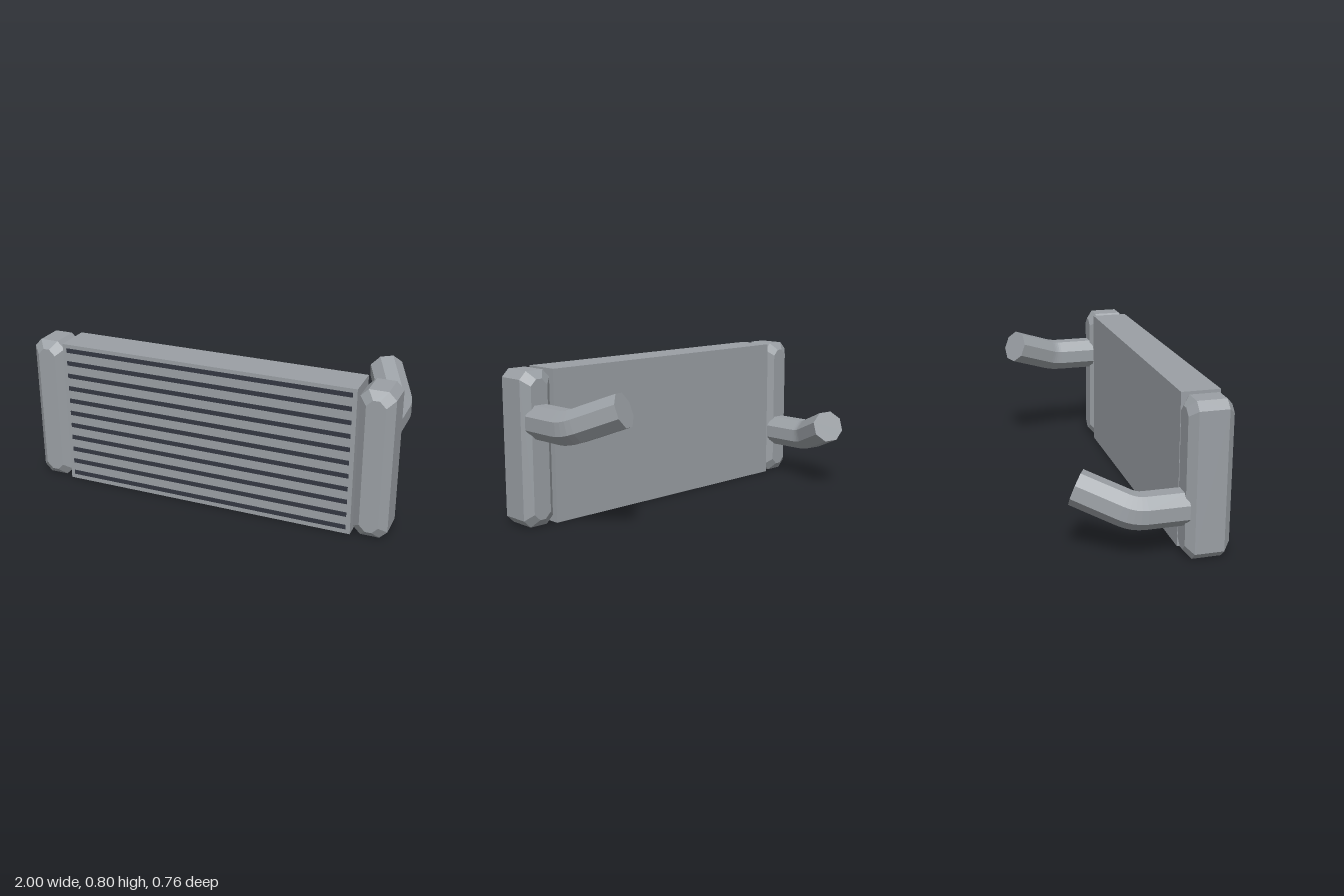
import * as THREE from 'three';
import { ConvexGeometry } from 'three/addons/geometries/ConvexGeometry.js';

const metal = new THREE.MeshStandardMaterial({ color: 0x9a9fa4 });
metal.name = 'grey metal';
const dark = new THREE.MeshStandardMaterial({ color: 0x343842 });
dark.name = 'dark slot';

function add(parent, name, geometry, material, x = 0, y = 0, z = 0) {
  const mesh = new THREE.Mesh(geometry, material);
  mesh.name = name;
  mesh.position.set(x, y, z);
  parent.add(mesh);
  return mesh;
}

// End tank: octagonal slab whose front and back faces are chamfered inward
function tankGeometry() {
  const outer = [[0.09, 0.36], [0.05, 0.4]];
  const inner = [[0.05, 0.327], [0.017, 0.36]];
  const points = [];
  for (const [ring, z] of [[outer, 0.075], [inner, 0.1135]])
    for (const [x, y] of ring)
      for (const sx of [-1, 1])
        for (const sy of [-1, 1])
          for (const sz of [-1, 1]) points.push(new THREE.Vector3(sx * x, sy * y, sz * z));
  return new ConvexGeometry(points);
}

// Eight-sided pipe: straight run, rounded bend, angled end, flat caps
function pipeGeometry(side, y) {
  const sides = 8, radius = 0.092;
  const start = new THREE.Vector3(side * 0.905, y, 0.17);
  const corner = new THREE.Vector3(side * 0.905, y, -0.085);
  const end = new THREE.Vector3(side * 0.78, y + 0.103, -0.335);
  const back = new THREE.Vector3(0, 0, -1);
  const dir = end.clone().sub(corner).normalize();
  const bend = new THREE.QuadraticBezierCurve3(
    corner.clone().addScaledVector(back, -0.05), corner,
    corner.clone().addScaledVector(dir, 0.05));
  const path = [[start, back]];
  for (let i = 0; i <= 4; i++) path.push([bend.getPoint(i / 4), bend.getTangent(i / 4)]);
  path.push([end, dir]);

  const positions = [], index = [];
  for (const [point, tangent] of path) {
    const turn = new THREE.Quaternion().setFromUnitVectors(back, tangent);
    for (let j = 0; j < sides; j++) {
      const a = (j + 0.5) / sides * Math.PI * 2;
      const v = new THREE.Vector3(Math.cos(a) * radius, Math.sin(a) * radius, 0);
      positions.push(...v.applyQuaternion(turn).add(point).toArray());
    }
  }
  const last = (path.length - 1) * sides;
  for (let i = 0; i < last; i += sides)
    for (let j = 0; j < sides; j++) {
      const k = (j + 1) % sides;
      index.push(i + j, i + sides + j, i + sides + k, i + j, i + sides + k, i + k);
    }
  for (let j = 1; j < sides - 1; j++) {
    index.push(0, j, j + 1);
    index.push(last, last + j + 1, last + j);
  }
  const geometry = new THREE.BufferGeometry();
  geometry.setAttribute('position', new THREE.Float32BufferAttribute(positions, 3));
  geometry.setIndex(index);
  const flat = geometry.toNonIndexed();
  flat.computeVertexNormals();
  return flat;
}

export function createModel() {
  const model = new THREE.Group();
  model.name = 'intercooler';

  // Core block with dark horizontal slots on the front
  add(model, 'core', new THREE.BoxGeometry(1.626, 0.8, 0.2), metal, 0, 0.4, 0.269);
  const slots = new THREE.Group();
  slots.name = 'frontSlots';
  model.add(slots);
  for (let i = 0; i < 11; i++)
    add(slots, 'slot', new THREE.BoxGeometry(1.58, 0.024, 0.006), dark, 0, 0.038 + i * 0.0729, 0.37);

  // End tanks, each with a pipe at its own height
  for (const [side, name, pipeY] of [[1, 'left', 0.545], [-1, 'right', 0.257]]) {
    add(model, name + 'Tank', tankGeometry(), metal, side * 0.91, 0.4, 0.2685);
    add(model, name + 'Pipe', pipeGeometry(side, pipeY), metal);
  }
  return model;
}
